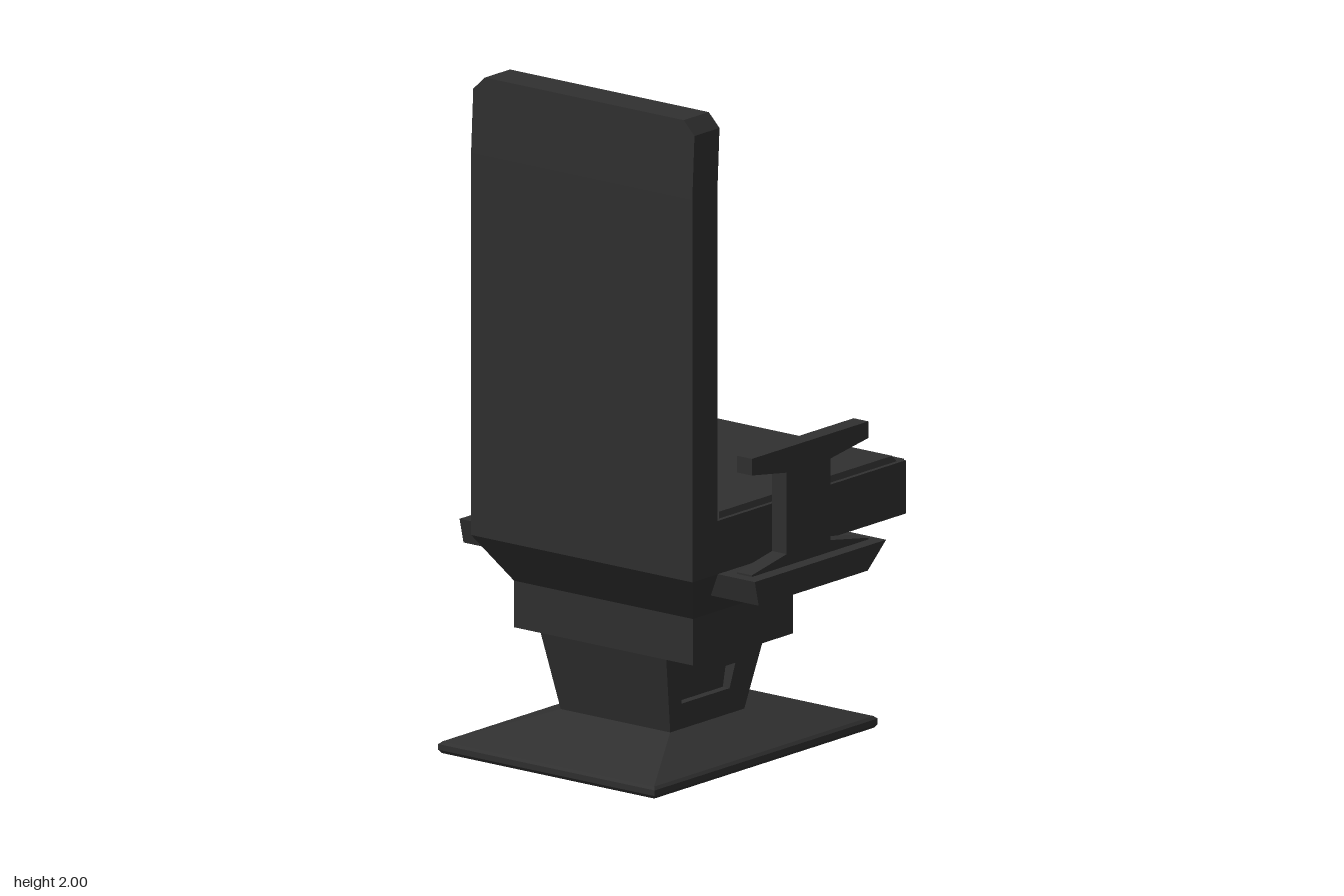
import * as THREE from 'three';

export function createModel() {
  const chair = new THREE.Group();
  const body = new THREE.MeshStandardMaterial({ color: 0x303030 });
  body.name = 'darkGrey';
  const underside = new THREE.MeshStandardMaterial({ color: 0x3a1e1e });
  underside.name = 'darkBrown';

  function add(name, geometry, material = body) {
    const mesh = new THREE.Mesh(geometry, material);
    mesh.name = name;
    chair.add(mesh);
    return mesh;
  }

  // Block between two rectangles, each given as [halfWidth, zMin, zMax, y]
  function block(lo, hi) {
    const g = new THREE.BoxGeometry(1, 1, 1);
    const p = g.attributes.position;
    for (let i = 0; i < p.count; i++) {
      const [w, z0, z1, y] = p.getY(i) > 0 ? hi : lo;
      p.setXYZ(i, Math.sign(p.getX(i)) * w, y, p.getZ(i) > 0 ? z1 : z0);
    }
    const flat = g.toNonIndexed();
    flat.computeVertexNormals();
    flat.groups = g.groups;
    return flat;
  }

  // Side profile of [z, y] points, extruded across x
  function sideProfile(points, width, hole) {
    const shape = new THREE.Shape(points.map(([z, y]) => new THREE.Vector2(z, y)));
    if (hole) shape.holes.push(new THREE.Path(hole.map(([z, y]) => new THREE.Vector2(z, y))));
    return new THREE.ExtrudeGeometry(shape, { depth: width, bevelEnabled: false })
      .translate(0, 0, -width / 2)
      .rotateY(-Math.PI / 2);
  }

  // Floor plate with a differently coloured underside
  const plateMaterials = [body, body, body, underside, body, body];
  add('floorPlateBottom', block([0.398, -0.43, 0.58, 0], [0.405, -0.437, 0.587, 0.01]), plateMaterials);
  add('floorPlateRim', block([0.405, -0.437, 0.587, 0.01], [0.405, -0.437, 0.587, 0.027]));
  add('floorPlateEdge', block([0.405, -0.437, 0.587, 0.027], [0.396, -0.428, 0.578, 0.035]));
  add('floorPlateSlope', block([0.396, -0.428, 0.578, 0.035], [0.205, -0.07, 0.27, 0.1]));

  // Pedestal with a recess in each side, widening toward the top
  const pedestal = sideProfile(
    [[0.27, 0.1], [-0.07, 0.1], [-0.135, 0.335], [0.325, 0.335]], 2,
    [[0.23, 0.18], [0.245, 0.255], [-0.005, 0.255], [0.01, 0.18]]);
  const p = pedestal.attributes.position;
  for (let i = 0; i < p.count; i++) {
    p.setX(i, p.getX(i) * (0.205 + 0.03 * (p.getY(i) - 0.1) / 0.235));
  }
  pedestal.computeVertexNormals();
  add('pedestal', pedestal);
  add('pedestalCore', block([0.19, 0, 0.235, 0.17], [0.19, -0.01, 0.25, 0.265]));

  // Seat support
  add('supportCollar', block([0.335, -0.135, 0.325, 0.335], [0.335, -0.135, 0.325, 0.475]));
  add('supportTaper', block([0.335, -0.135, 0.325, 0.475], [0.414, -0.29, 0.425, 0.62]));
  add('armShelf', sideProfile([[0.308, 0.62], [-0.295, 0.62], [-0.21, 0.545], [0.29, 0.545]], 1.105));

  // Seat, cushion and front bumper
  add('seat', block([0.414, -0.555, 0.33, 0.62], [0.414, -0.555, 0.33, 0.78]));
  add('seatCushion', block([0.4, -0.53, 0.285, 0.78], [0.392, -0.52, 0.275, 0.797]));
  add('bumperBase', new THREE.BoxGeometry(0.8, 0.14, 0.02)).position.set(0, 0.71, -0.555);
  add('bumper', block([0.4, -0.07, 0.07, 0], [0.37, -0.045, 0.045, 0.025]).rotateX(-Math.PI / 2))
    .position.set(0, 0.71, -0.565);

  // Backrest
  add('backrest', block([0.414, 0.31, 0.425, 0.62], [0.414, 0.31, 0.425, 1.77]));
  const top = new THREE.Shape([[-0.414, 1.77], [0.414, 1.77], [0.414, 1.96], [0.372, 2], [-0.372, 2], [-0.414, 1.96]]
    .map(([x, y]) => new THREE.Vector2(x, y)));
  const head = new THREE.ExtrudeGeometry(top, { depth: 0.115, bevelEnabled: false }).translate(0, 0, 0.31);
  const h = head.attributes.position;
  for (let i = 0; i < h.count; i++) h.setZ(i, h.getZ(i) - 0.012 * (h.getY(i) - 1.77) / 0.23);
  head.computeVertexNormals();
  add('backrestTop', head);
  add('backCushion', block([0.4, -0.468, 0.468, 0], [0.394, -0.46, 0.46, 0.025]).rotateX(-Math.PI / 2))
    .position.set(0, 1.288, 0.312);

  // Armrests
  const arm = sideProfile([
    [0.27, 0.615], [0.27, 0.625], [0.11, 0.655], [0.11, 0.9], [0.27, 0.925], [0.27, 0.975],
    [-0.265, 0.975], [-0.265, 0.925], [-0.09, 0.9], [-0.09, 0.655], [-0.265, 0.625], [-0.265, 0.615],
  ], 0.055);
  for (const side of [1, -1]) {
    add(side > 0 ? 'leftArmrest' : 'rightArmrest', arm).position.x = side * 0.483;
  }
  return chair;
}
